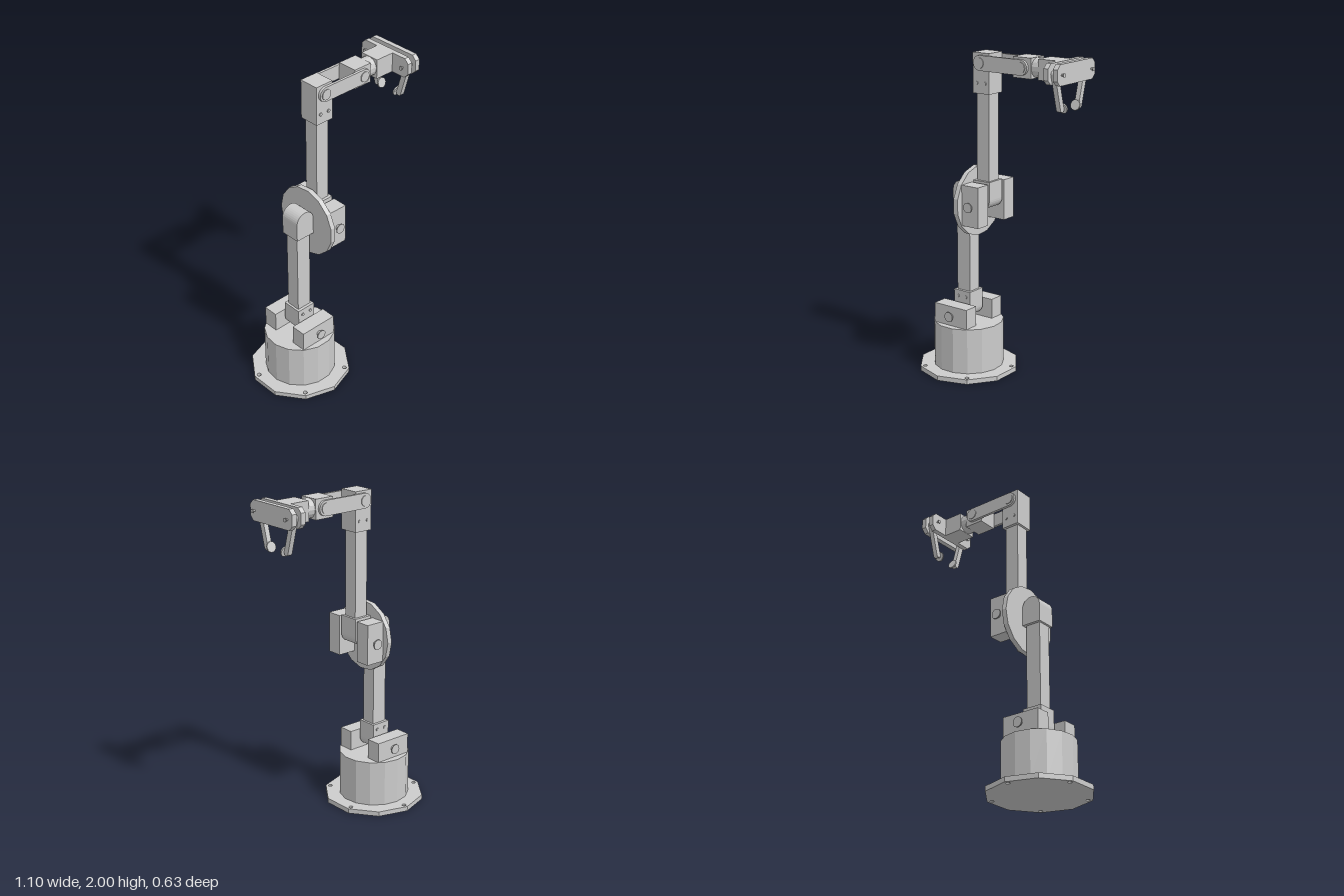
import * as THREE from 'three';

const material = new THREE.MeshStandardMaterial({ color: 0xcccccc, flatShading: true });

function add(parent, name, geometry, x = 0, y = 0, z = 0) {
  const mesh = new THREE.Mesh(geometry, material);
  mesh.name = name;
  mesh.position.set(x, y, z);
  parent.add(mesh);
  return mesh;
}

// Box given by its minimum and maximum corners
function block(parent, name, [x0, y0, z0], [x1, y1, z1]) {
  return add(parent, name, new THREE.BoxGeometry(x1 - x0, y1 - y0, z1 - z0),
    (x0 + x1) / 2, (y0 + y1) / 2, (z0 + z1) / 2);
}

// Cylinder along an axis, with a corner pointing to the back
function rod(axis, radius, length, sides = 15) {
  const g = new THREE.CylinderGeometry(radius, radius, length, sides).rotateY(Math.PI);
  if (axis === 'x') g.rotateZ(-Math.PI / 2);
  if (axis === 'z') g.rotateX(Math.PI / 2);
  return g;
}

// Extrusion centred on its depth
function slab(shape, depth) {
  return new THREE.ExtrudeGeometry(shape, { depth, bevelEnabled: false, curveSegments: 8 })
    .translate(0, 0, -depth / 2);
}

function polygon(radius, sides, cx = 0, cy = 0) {
  return Array.from({ length: sides }, (_, i) => {
    const a = Math.PI / 2 + (i * 2 * Math.PI) / sides;
    return new THREE.Vector2(cx + radius * Math.cos(a), cy + radius * Math.sin(a));
  });
}

// Bar with two round ends, running along x from 0 to length
function roundBar(length, radius) {
  const s = new THREE.Shape();
  s.absarc(0, 0, radius, Math.PI / 2, Math.PI * 1.5);
  s.absarc(length, 0, radius, -Math.PI / 2, Math.PI / 2);
  return s;
}

// Bracket with one square end (y = 0) and one round end (y = height)
function bracketShape(halfWidth, height) {
  const s = new THREE.Shape();
  s.moveTo(-halfWidth, 0);
  s.lineTo(halfWidth, 0);
  s.absarc(0, height - halfWidth, halfWidth, 0, Math.PI);
  s.closePath();
  return s;
}

function rivets(parent, x, y) {
  for (const dx of [-0.03, 0.03]) add(parent, 'rivet', rod('z', 0.01, 0.138, 10), x + dx, y, 0);
}

// Pair of bearing blocks with their axle pins
function hinge(parent, name, x, y, min, max) {
  const group = new THREE.Group();
  group.name = name;
  parent.add(group);
  for (const s of [-1, 1]) {
    add(group, 'bearingBlock', new THREE.BoxGeometry(max[0] - min[0], max[1] - min[1], 0.096),
      (min[0] + max[0]) / 2, (min[1] + max[1]) / 2, s * 0.127);
    add(group, 'innerPin', rod('z', 0.017, 0.05), x, y, s * 0.075);
    add(group, 'outerPin', rod('z', 0.017, 0.04), x, y, s * 0.178);
    add(group, 'pinHead', rod('z', 0.031, 0.006), x, y, s * 0.197);
  }
}

export function createModel() {
  const model = new THREE.Group();
  model.name = 'robotArm';
  const baseX = -0.252, upperX = -0.097;

  // Base plate with five bolt holes, and the turret
  const plate = new THREE.Shape(polygon(0.313, 10));
  for (const p of polygon(0.283, 5)) plate.holes.push(new THREE.Path(polygon(0.013, 12, p.x, p.y)));
  add(model, 'basePlate', slab(plate, 0.03).rotateX(-Math.PI / 2), baseX, 0.015, 0);
  add(model, 'turret', rod('y', 0.219, 0.287), baseX, 0.1735, 0);

  // Lower arm
  hinge(model, 'shoulderHinge', baseX, 0.38, [-0.378, 0.317], [-0.13, 0.442]);
  const bracket = slab(bracketShape(0.063, 0.173), 0.126);
  add(model, 'shoulderBracket', bracket, baseX, 0.514, 0).rotation.z = Math.PI;
  rivets(model, baseX, 0.477);
  block(model, 'lowerArm', [baseX - 0.049, 0.5, -0.045], [baseX + 0.049, 1.06, 0.045]);
  add(model, 'elbowBracket', bracket, baseX, 1.043, 0);

  // Elbow disc and upper hinge
  add(model, 'elbowDisc', rod('x', 0.219, 0.031), -0.173, 1.097, 0);
  hinge(model, 'elbowHinge', upperX, 1.098, [-0.158, 0.974], [-0.036, 1.224]);

  // Upper arm
  add(model, 'upperArmBracket', slab(bracketShape(0.06, 0.173), 0.126), upperX, 1.234, 0).rotation.z = Math.PI;
  rivets(model, upperX, 1.198);
  block(model, 'upperArm', [upperX - 0.045, 1.22, -0.045], [upperX + 0.045, 1.78, 0.045]);
  block(model, 'upperArmHead', [-0.157, 1.76, -0.063], [-0.037, 2, 0.063]);
  rivets(model, upperX, 1.822);

  // Side links carrying the wrist
  for (const s of [-1, 1]) {
    add(model, 'wristLink', slab(roundBar(0.294, 0.045), 0.016), upperX, 1.942, s * 0.071);
    for (const x of [upperX, 0.198]) add(model, 'linkPin', rod('z', 0.032, 0.02), x, 1.942, s * 0.074);
  }

  // Wrist
  block(model, 'wristBlock', [0.135, 1.88, -0.063], [0.26, 2, 0.063]);
  add(model, 'wristJoint', rod('x', 0.059, 0.07), 0.285, 1.94, 0);
  block(model, 'gripperMount', [0.31, 1.88, -0.063], [0.44, 2, 0.063]);

  // Gripper plates with clipped corners
  const w = 0.187, h = 0.06, c = 0.027;
  const plateShape = new THREE.Shape([
    [-w, c - h], [c - w, -h], [w - c, -h], [w, c - h],
    [w, h - c], [w - c, h], [c - w, h], [-w, h - c],
  ].map(([x, y]) => new THREE.Vector2(x, y)));
  for (const x of [0.45, 0.512]) {
    add(model, 'gripperPlate', slab(plateShape, 0.031).rotateY(Math.PI / 2), x, 1.94, 0);
  }

  // Two fingers, each on a pivot pin and ending in a round pad
  for (const turn of [0, Math.PI]) {
    const side = new THREE.Group();
    side.name = 'fingerAssembly';
    side.position.set(0.481, 1.94, 0);
    side.rotation.y = turn;
    model.add(side);
    add(side, 'pivotPin', rod('x', 0.006, 0.13, 10), 0, 0, 0.146);
    for (const x of [-0.064, 0.064]) add(side, 'pivotHead', rod('x', 0.012, 0.004, 12), x, 0, 0.146);

    const finger = new THREE.Group();
    finger.name = 'finger';
    finger.position.z = 0.146;
    finger.rotation.x = 0.27;
    side.add(finger);
    const bar = slab(roundBar(0.21, 0.017), 0.03).rotateZ(-Math.PI / 2).rotateY(Math.PI / 2);
    add(finger, 'fingerBar', bar);
    add(finger, 'padStem', rod('z', 0.012, 0.03, 10), 0, -0.213, -0.012);
    add(finger, 'fingerPad', rod('z', 0.031, 0.009), 0, -0.215, -0.026);
  }

  return model;
}
